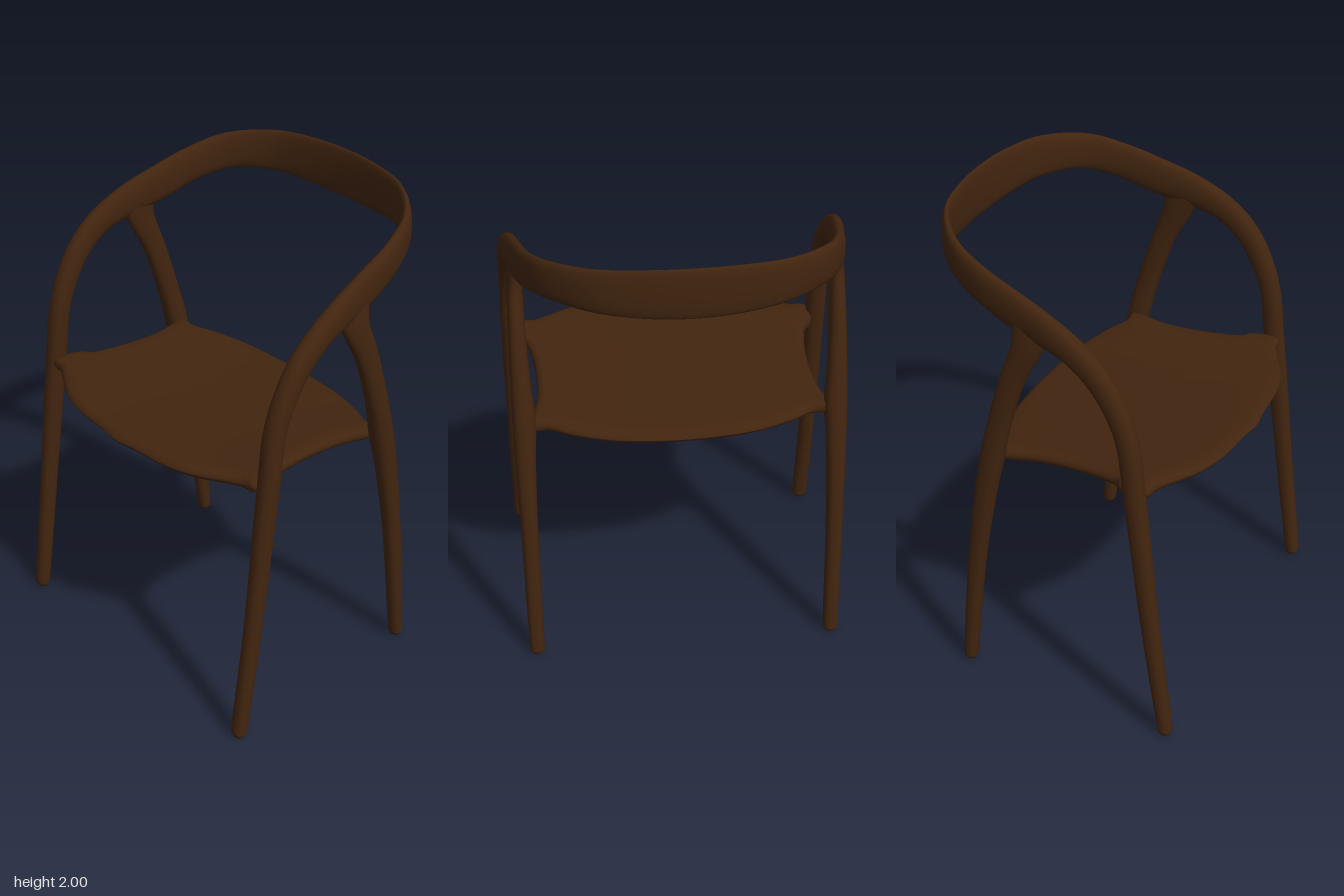
import * as THREE from 'three';

const V = (x, y, z) => new THREE.Vector3(x, y, z);

// Skin a list of closed rings (each an array of Vector3) into a smooth surface
function skin(rings) {
  const n = rings[0].length, pos = [], idx = [];
  rings.forEach(r => r.forEach(p => pos.push(p.x, p.y, p.z)));
  for (let i = 0; i < rings.length - 1; i++) {
    for (let j = 0; j < n; j++) {
      const k = (j + 1) % n, a = i * n + j, b = i * n + k, c = a + n, d = b + n;
      idx.push(a, b, c, b, d, c);
    }
  }
  const g = new THREE.BufferGeometry();
  g.setAttribute('position', new THREE.Float32BufferAttribute(pos, 3));
  g.setIndex(idx);
  g.computeVertexNormals();
  return g;
}

// Sweep an oval along stations [x, y, z, halfThickness, halfDepth, outwardAngle]
function sweep(stations, steps, sides = 24) {
  const path = new THREE.CatmullRomCurve3(stations.map(s => V(s[0], s[1], s[2])));
  const size = new THREE.CatmullRomCurve3(stations.map(s => V(s[3], s[4], s[5])), false, 'catmullrom', 0.5);
  const round = v => Math.sign(v) * Math.pow(Math.abs(v), 0.88);
  const rings = [];
  for (let i = 0; i <= steps; i++) {
    const t = i / steps, p = path.getPoint(t), s = size.getPoint(t), T = path.getTangent(t);
    const S = V(Math.cos(s.z), 0, -Math.sin(s.z));
    S.addScaledVector(T, -S.dot(T)).normalize();
    const U = T.clone().cross(S);
    const ring = [];
    for (let j = 0; j < sides; j++) {
      const a = j / sides * Math.PI * 2;
      ring.push(p.clone().addScaledVector(S, s.x * round(Math.cos(a))).addScaledVector(U, s.y * round(Math.sin(a))));
    }
    if (i === 0) rings.push(ring.map(() => p.clone()));
    rings.push(ring);
    if (i === steps) rings.push(ring.map(() => p.clone()));
  }
  return skin(rings);
}

// Front leg, arm and half of the back rail
const FRAME = [
  [0.665, 0.002, 0.56, 0.022, 0.02, 0],
  [0.665, 0.022, 0.558, 0.033, 0.029, 0],
  [0.667, 0.5, 0.49, 0.034, 0.036, 0],
  [0.66, 1.1, 0.413, 0.041, 0.042, 0],
  [0.656, 1.4, 0.367, 0.041, 0.043, 0],
  [0.656, 1.585, 0.272, 0.04, 0.05, 0],
  [0.652, 1.685, 0.16, 0.038, 0.056, 0.05],
  [0.638, 1.745, 0.02, 0.035, 0.07, 0.12],
  [0.615, 1.787, -0.13, 0.031, 0.08, 0.17],
  [0.585, 1.836, -0.28, 0.028, 0.077, 0.31],
  [0.515, 1.88, -0.43, 0.024, 0.079, 0.69],
  [0.36, 1.896, -0.553, 0.02, 0.09, 1.1],
  [0.18, 1.896, -0.6, 0.017, 0.101, 1.41],
  [0, 1.895, -0.613, 0.016, 0.105, Math.PI / 2],
];

// Rear leg, flared where it meets the seat and the arm
const REAR_LEG = [
  [0.635, 0.002, -0.383, 0.02, 0.02, 0],
  [0.635, 0.022, -0.382, 0.031, 0.028, 0],
  [0.636, 0.6, -0.317, 0.035, 0.038, 0],
  [0.634, 0.95, -0.259, 0.042, 0.045, 0],
  [0.63, 1.1, -0.228, 0.047, 0.048, 0],
  [0.634, 1.25, -0.192, 0.041, 0.047, 0],
  [0.636, 1.5, -0.115, 0.034, 0.05, 0],
  [0.634, 1.64, -0.055, 0.031, 0.062, 0],
  [0.63, 1.74, -0.03, 0.026, 0.09, 0],
];

// Half outline of the seat (x, z), front centre round to back centre
const SEAT = [
  [0, 0.618], [0.1, 0.605], [0.28, 0.59], [0.4, 0.553], [0.5, 0.495], [0.57, 0.458], [0.63, 0.445],
  [0.63, 0.335], [0.6, 0.3], [0.578, 0.2], [0.568, 0.06], [0.575, -0.08], [0.6, -0.18],
  [0.61, -0.245], [0.54, -0.248], [0.45, -0.29], [0.3, -0.335], [0.15, -0.354], [0, -0.36],
];

function seatGeometry() {
  const mirrored = SEAT.slice(1, -1).reverse().map(([x, z]) => [-x, z]);
  const outline = new THREE.CatmullRomCurve3([...SEAT, ...mirrored].map(([x, z]) => V(x, 0, z)), true);
  const edge = [];
  for (let i = 0; i < 180; i++) edge.push(outline.getPoint(i / 180));
  // [scale, height within thickness] from bottom centre, round the rim, to top centre
  const profile = [[0, -1], [0.3, -1], [0.6, -1], [0.85, -0.98], [0.94, -0.9], [0.98, -0.65], [0.997, -0.25],
    [0.997, 0.25], [0.98, 0.7], [0.95, 0.93], [0.88, 1], [0.7, 1], [0.45, 1], [0.2, 1], [0, 1]];
  const cz = 0.1;
  return skin(profile.map(([s, h]) => edge.map(p => {
    const x = p.x * s, z = cz + (p.z - cz) * s;
    const dish = 0.024 * (1 - Math.min(1, (x / 0.6) ** 2));
    return V(x, 1.102 + 0.07 * z - dish * (h > 0 ? 1 : 0.4) + 0.031 * h, z);
  })));
}

export function createModel() {
  const model = new THREE.Group();
  model.name = 'armchair';
  const wood = new THREE.MeshStandardMaterial({ color: 0x42250f });
  wood.name = 'dark walnut';
  const add = (name, geometry) => {
    const mesh = new THREE.Mesh(geometry, wood);
    mesh.name = name;
    model.add(mesh);
  };

  // One continuous bent frame from front foot to front foot
  const otherHalf = FRAME.slice(0, -1).reverse().map(([x, y, z, a, b, f]) => [-x, y, z, a, b, Math.PI - f]);
  add('frontLegsArmsAndBackRail', sweep([...FRAME, ...otherHalf], 208));

  for (const [side, sx] of [['left', 1], ['right', -1]]) {
    add(side + 'RearLeg', sweep(REAR_LEG.map(([x, ...rest]) => [x * sx, ...rest]), 64));
  }

  add('seat', seatGeometry());
  return model;
}
